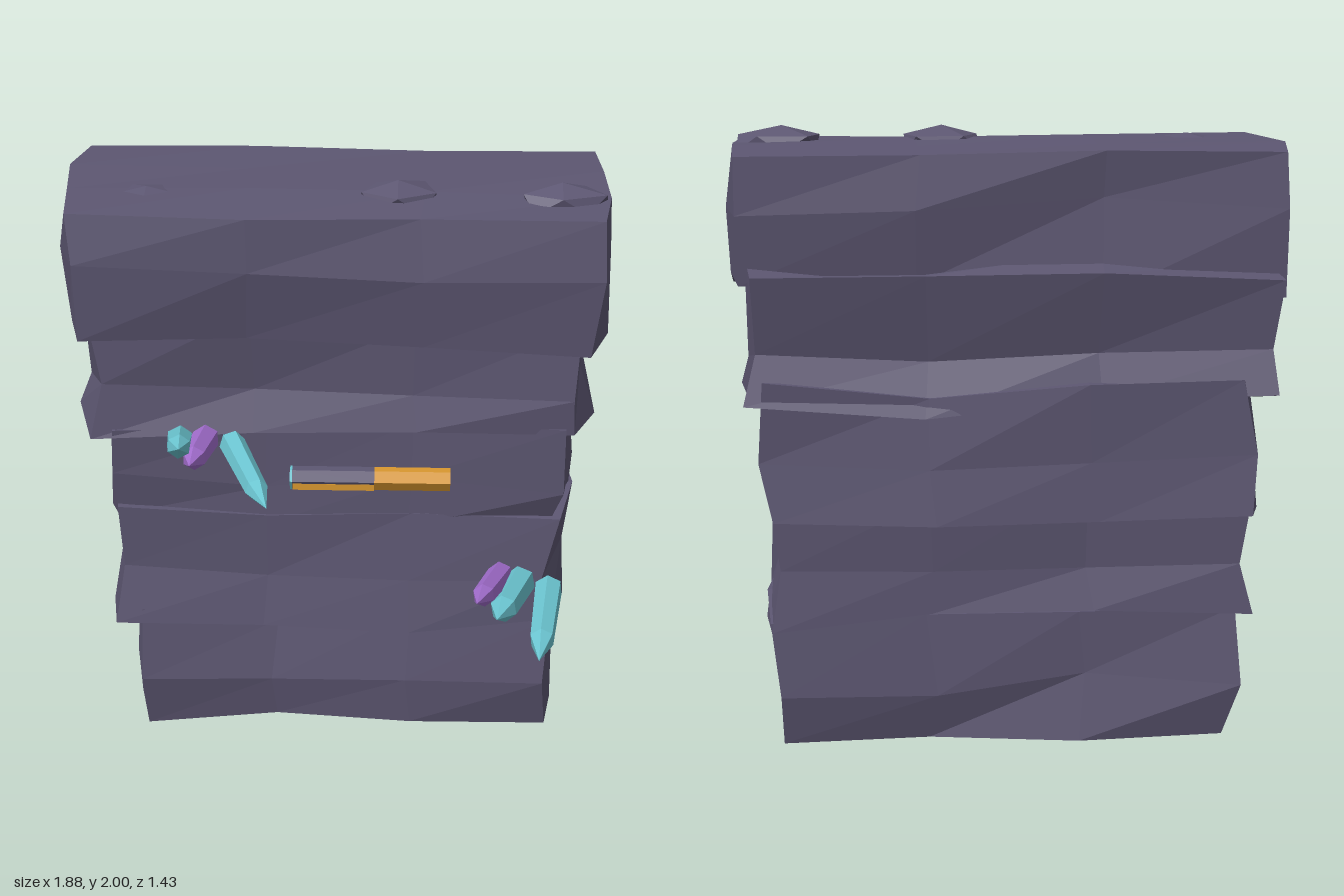
import * as THREE from 'three';

const material = (name, color) =>
  Object.assign(new THREE.MeshStandardMaterial({ color, flatShading: true }), { name });

// Repeatable noise in 0..1, the same for coincident vertices
const noise = (a, b, c, seed) => {
  const s = Math.sin(a * 12.9898 + b * 78.233 + c * 37.719 + seed * 53.13) * 43758.5453;
  return s - Math.floor(s);
};

// Overlapping strata from bottom to top; each has three rows of [y, left x, right x, front z, back z]
const STRATA = [
  [[0.02, -0.76, 0.8, 0.17, -0.68], [0.2, -0.78, 0.78, 0.2, -0.7], [0.44, -0.76, 0.81, 0.17, -0.69]],
  [[0.41, -0.83, 0.82, 0.2, -0.71], [0.62, -0.8, 0.8, 0.17, -0.69], [0.85, -0.82, 0.83, 0.17, -0.71]],
  [[0.77, -0.85, 0.82, 0.15, -0.73], [0.95, -0.84, 0.84, 0.18, -0.71], [1.18, -0.82, 0.83, 0.18, -0.71]],
  [[1.13, -0.92, 0.9, 0.2, -0.7], [1.29, -0.89, 0.86, 0.19, -0.66], [1.57, -0.92, 0.89, 0.2, -0.69]],
  [[1.5, -0.95, 0.94, 0.3, -0.57], [1.77, -0.955, 0.95, 0.335, -0.59], [1.95, -0.95, 0.93, 0.32, -0.59]],
];

// How far the side faces draw in from back corner to front corner
const SIDE_INSET = [0.015, 0, 0, 0.045];

// A box whose vertices follow the rows, chipped inwards by noise
function stratumGeometry(rows, seed) {
  const g = new THREE.BoxGeometry(1, 1, 1, 3, 2, 3);
  const p = g.attributes.position;
  for (let i = 0; i < p.count; i++) {
    const u = Math.round((p.getX(i) + 0.5) * 3);
    const v = Math.round((p.getY(i) + 0.5) * 2);
    const w = Math.round((p.getZ(i) + 0.5) * 3);
    const [y, xl, xr, zf, zb] = rows[v];
    const inX = SIDE_INSET[w] + noise(u, v, w, seed + 1) * 0.045;
    const inZ = noise(u, v, w, seed + 3) * (u === 0 || u === 3 ? 0.035 : 0.06);
    const topCap = seed === 4 && v === 2;
    const lift = (noise(u, v, w, seed + 7) * 2 - 1) * (topCap ? 0.012 : 0.04);
    p.setXYZ(i,
      THREE.MathUtils.lerp(xl + inX, xr - inX, u / 3),
      Math.max(0, y + lift),
      THREE.MathUtils.lerp(zb + inZ, zf - inZ, w / 3));
  }
  g.computeVertexNormals();
  return g;
}

// Flattened stone with one vertex at the peak
function stoneGeometry(seed) {
  const g = new THREE.IcosahedronGeometry(1, 0).rotateX(-1.017);
  const p = g.attributes.position;
  for (let i = 0; i < p.count; i++) {
    const [x, y, z] = [p.getX(i), p.getY(i), p.getZ(i)];
    const k = y > 0.9 ? 1 : 0.85 + 0.3 * noise(Math.round(x * 9), Math.round(y * 9), Math.round(z * 9), seed);
    p.setXYZ(i, x * k, y, z * k);
  }
  g.computeVertexNormals();
  return g;
}

// Six-sided crystal from base to tip
function crystal(base, tip, radius, mat, name) {
  const from = new THREE.Vector3(...base);
  const dir = new THREE.Vector3(...tip).sub(from);
  const length = dir.length();
  const profile = [[0, 0], [radius, 0], [radius * 0.85, length * 0.72], [0, length]]
    .map(([x, y]) => new THREE.Vector2(x, y));
  const mesh = new THREE.Mesh(new THREE.LatheGeometry(profile, 6), mat);
  mesh.quaternion.setFromUnitVectors(new THREE.Vector3(0, 1, 0), dir.normalize());
  mesh.position.copy(from);
  mesh.name = name;
  return mesh;
}

export function createModel() {
  const model = new THREE.Group();
  model.name = 'crystalRockWall';
  const rock = material('slate rock', 0x5d5772);
  const teal = material('teal crystal', 0x6cc6d2);
  const purple = material('purple crystal', 0xa46fd0);
  const gold = material('gold ore', 0xd9982f);

  // Stacked rock layers
  const strata = new THREE.Group();
  strata.name = 'rockStrata';
  STRATA.forEach((rows, i) => {
    const layer = new THREE.Mesh(stratumGeometry(rows, i), rock);
    layer.name = `rockLayer${i + 1}`;
    strata.add(layer);
  });
  model.add(strata);

  // Half-buried stones on the top: x, z, half width, half height, half depth
  [[-0.65, 0.02, 0.12, 0.03, 0.11], [0.2, 0.02, 0.15, 0.06, 0.13], [0.75, 0.03, 0.16, 0.06, 0.11]]
    .forEach(([x, z, w, h, d], i) => {
      const stone = new THREE.Mesh(stoneGeometry(i + 1), rock);
      stone.scale.set(w, h, d);
      stone.position.set(x, 1.94, z);
      stone.name = `topStone${i + 1}`;
      model.add(stone);
    });

  // Upper crystal cluster
  const upper = new THREE.Group();
  upper.name = 'upperCrystals';
  upper.add(
    crystal([-0.54, 1.12, 0.19], [-0.5, 1.26, 0.63], 0.048, teal, 'tealCrystal'),
    crystal([-0.45, 1.125, 0.19], [-0.47, 1.185, 0.59], 0.048, purple, 'purpleCrystal'),
    crystal([-0.36, 1.11, 0.19], [-0.21, 1.085, 0.7], 0.045, teal, 'tealCrystal'));
  model.add(upper);

  // Lower crystal cluster
  const lower = new THREE.Group();
  lower.name = 'lowerCrystals';
  lower.add(
    crystal([0.57, 0.63, 0.19], [0.48, 0.76, 0.71], 0.045, purple, 'purpleCrystal'),
    crystal([0.64, 0.605, 0.19], [0.55, 0.655, 0.61], 0.055, teal, 'tealCrystal'),
    crystal([0.74, 0.58, 0.19], [0.69, 0.555, 0.71], 0.05, teal, 'tealCrystal'));
  model.add(lower);

  // Ore vein: a thin bar across the front, its left end crusted with rock and tipped with crystal
  const vein = new THREE.Group();
  vein.name = 'oreVein';
  [
    [0.13, 0.39, gold, 'goldBar'],
    [-0.152, 0.13, rock, 'crustedBar'],
    [-0.16, -0.152, teal, 'crystalCap'],
  ].forEach(([x0, x1, mat, name]) => {
    const bar = new THREE.Mesh(new THREE.CylinderGeometry(0.04, 0.04, x1 - x0, 6), mat);
    bar.rotation.z = Math.PI / 2;
    bar.position.set((x0 + x1) / 2, 0.992, 0.208);
    bar.name = name;
    vein.add(bar);
  });
  const streak = new THREE.Mesh(new THREE.BoxGeometry(0.28, 0.022, 0.008), gold);
  streak.position.set(-0.01, 0.972, 0.24);
  streak.name = 'goldStreak';
  vein.add(streak);
  model.add(vein);

  return model;
}
